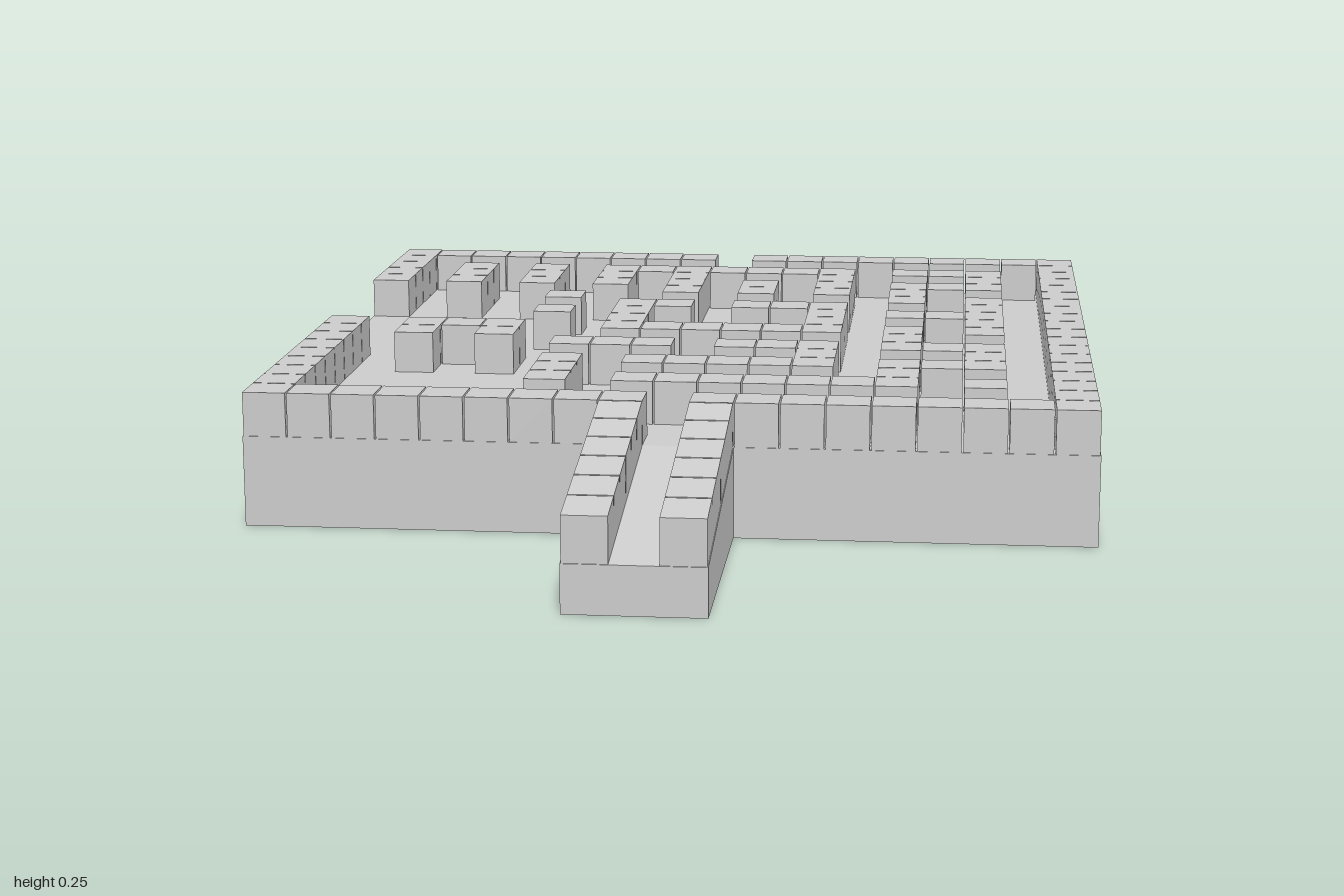
import * as THREE from 'three';
import { mergeGeometries } from 'three/addons/utils/BufferGeometryUtils.js';

const CELL = 0.08, FLOOR = 0.165, HALF = 0.76, BACK = -1, FRONT = 0.52, END = 1, RAMP = 0.12;
const BLOCK = 0.077; // leaves a narrow slit between neighbouring blocks

// Maze plan, back row first: # block, o open shaft
const PLAN = [
  '#########.#########',
  '#.................#',
  '#.#.#.#######.###.#',
  '#.#.#.#.#...#...#.#',
  '#.#.#.#.#.#.#.###.#',
  '........#.#.#.#...#',
  '...o.#........#.#.#',
  '.......##.###...#.#',
  '.....#.#....#.###.#',
  '.......#....#...#.#',
  '#.###..######.#.#.#',
  '#.#.#.........#...#',
  '#.....###.###.###.#',
  '#...........#...#.#',
  '#.....#.#####.###.#',
  '#.o...#.......#...#',
  '#.....#.#######.#.#',
  '#.................#',
  '#########.#########',
];

// The ramp falls away evenly in front of the maze
const drop = (z) => Math.max(0, z - FRONT) * CELL / (END - FRONT);

function slope(geo) {
  const p = geo.attributes.position;
  for (let i = 0; i < p.count; i++) p.setY(i, p.getY(i) - drop(p.getZ(i)));
  const flat = geo.index ? geo.toNonIndexed() : geo;
  flat.computeVertexNormals();
  return flat;
}

// Block that is hollow and open underneath
function block(x, z) {
  const geo = new THREE.BoxGeometry(BLOCK, CELL, BLOCK);
  const index = Array.from(geo.index.array);
  index.splice(18, 6);
  geo.setIndex(index);
  geo.clearGroups();
  geo.translate(x, FLOOR + CELL / 2, z);
  return slope(geo);
}

// Vertical walls from the ground to floor level along a path of [x, z] points
function walls(points) {
  const pos = [];
  for (let i = 0; i < points.length - 1; i++) {
    const [ax, az] = points[i], [bx, bz] = points[i + 1];
    const at = FLOOR - drop(az), bt = FLOOR - drop(bz);
    pos.push(ax, 0, az, bx, 0, bz, bx, bt, bz, ax, 0, az, bx, bt, bz, ax, at, az);
  }
  const geo = new THREE.BufferGeometry();
  geo.setAttribute('position', new THREE.Float32BufferAttribute(pos, 3));
  geo.computeVertexNormals();
  return geo;
}

function square(x, z, size) {
  const h = size / 2;
  return [[x - h, z - h], [x - h, z + h], [x + h, z + h], [x + h, z - h], [x - h, z - h]];
}

// Thin floor with square openings
function floor(x0, x1, z0, z1, openings) {
  const toVec = ([x, z]) => new THREE.Vector2(x, -z);
  const shape = new THREE.Shape([[x0, z1], [x1, z1], [x1, z0], [x0, z0]].map(toVec));
  for (const o of openings) shape.holes.push(new THREE.Path(o.map(toVec)));
  const geo = new THREE.ShapeGeometry(shape);
  geo.rotateX(-Math.PI / 2).translate(0, FLOOR, 0);
  return slope(geo);
}

export function createModel() {
  const group = new THREE.Group();
  const material = new THREE.MeshStandardMaterial({ color: 0xcccccc, flatShading: true, side: THREE.DoubleSide });
  const add = (name, geo) => {
    const mesh = new THREE.Mesh(geo, material);
    mesh.name = name;
    group.add(mesh);
  };

  // Maze blocks and shafts from the plan
  const blocks = [], shafts = [], openings = [];
  PLAN.forEach((row, r) => [...row].forEach((c, i) => {
    const x = -HALF + CELL * (i + 0.5), z = BACK + CELL * (r + 0.5);
    if (c === '#') {
      blocks.push(block(x, z));
      openings.push(square(x, z, BLOCK));
    } else if (c === 'o') {
      const outline = square(x, z, CELL);
      shafts.push(walls([...outline].reverse()));
      openings.push(outline);
    }
  }));
  add('mazeBlocks', mergeGeometries(blocks));
  add('floorShafts', mergeGeometries(shafts));
  add('mazeFloor', floor(-HALF, HALF, BACK, FRONT, openings));

  // Entrance ramp with a row of blocks on each side
  const rampBlocks = [], rampOpenings = [];
  for (let z = FRONT + CELL / 2; z < END; z += CELL) {
    for (const x of [-CELL, CELL]) {
      rampBlocks.push(block(x, z));
      rampOpenings.push(square(x, z, BLOCK));
    }
  }
  add('rampBlocks', mergeGeometries(rampBlocks));
  add('rampFloor', floor(-RAMP, RAMP, FRONT, END, rampOpenings));

  // Outer walls, open underneath
  add('baseWalls', walls([
    [RAMP, FRONT], [HALF, FRONT], [HALF, BACK], [-HALF, BACK], [-HALF, FRONT], [-RAMP, FRONT],
  ]));
  add('rampWalls', walls([[-RAMP, FRONT], [-RAMP, END], [RAMP, END], [RAMP, FRONT]]));

  return group;
}
